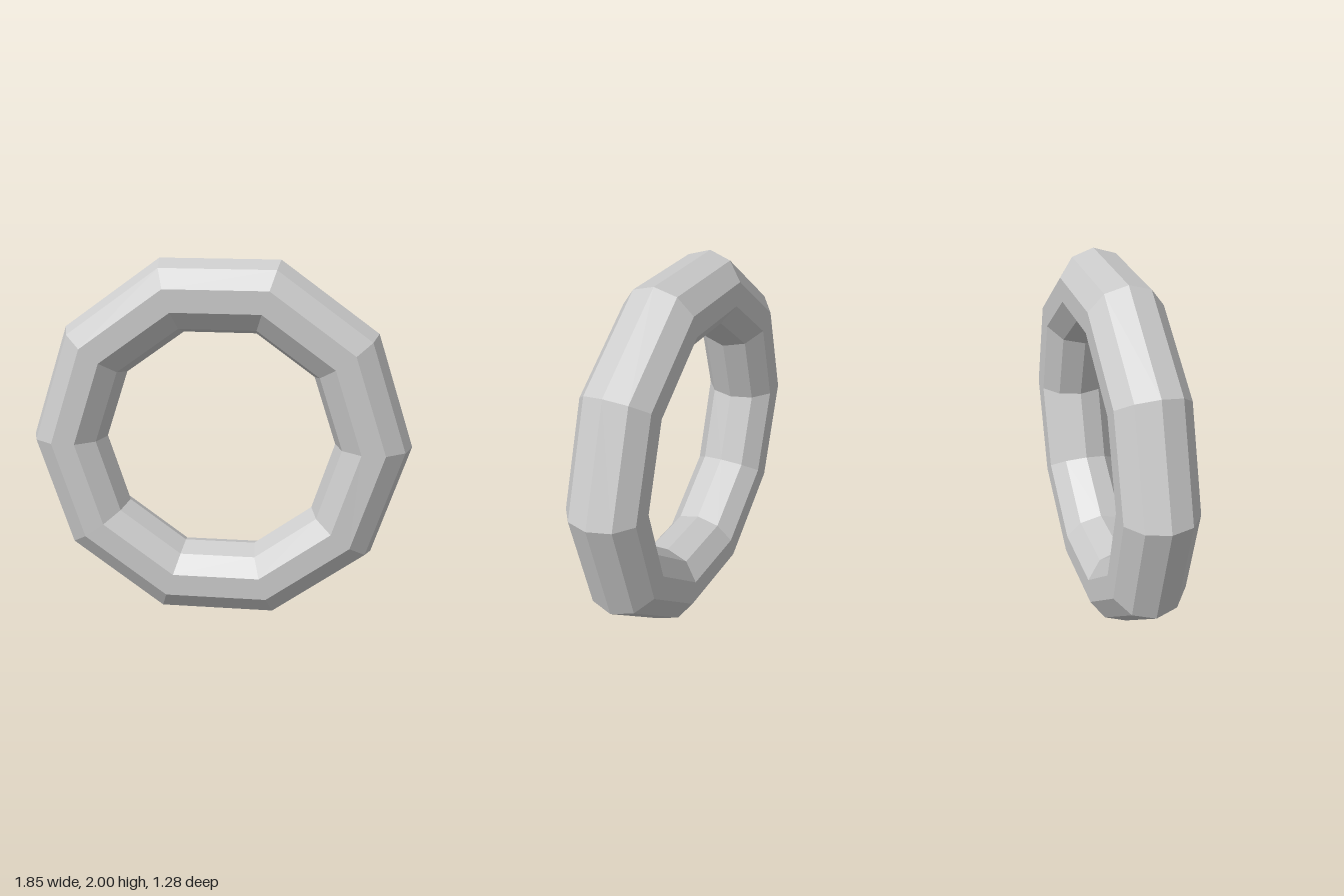
import * as THREE from 'three';

export function createModel() {
  const group = new THREE.Group();
  const sides = 10;
  const outerRadius = 1 / Math.sin((2 * Math.PI) / 5); // flat top edge reaches one unit above the centre
  const tubeRadius = 0.208;

  // Faceted ring standing upright, turned about the vertical axis
  const ring = new THREE.Mesh(
    new THREE.TorusGeometry(outerRadius - tubeRadius, tubeRadius, sides, sides),
    new THREE.MeshStandardMaterial({ color: 0xcccccc, flatShading: true })
  );
  ring.name = 'ring';
  ring.position.y = 1;
  ring.rotation.y = THREE.MathUtils.degToRad(31.4);
  group.add(ring);
  return group;
}
